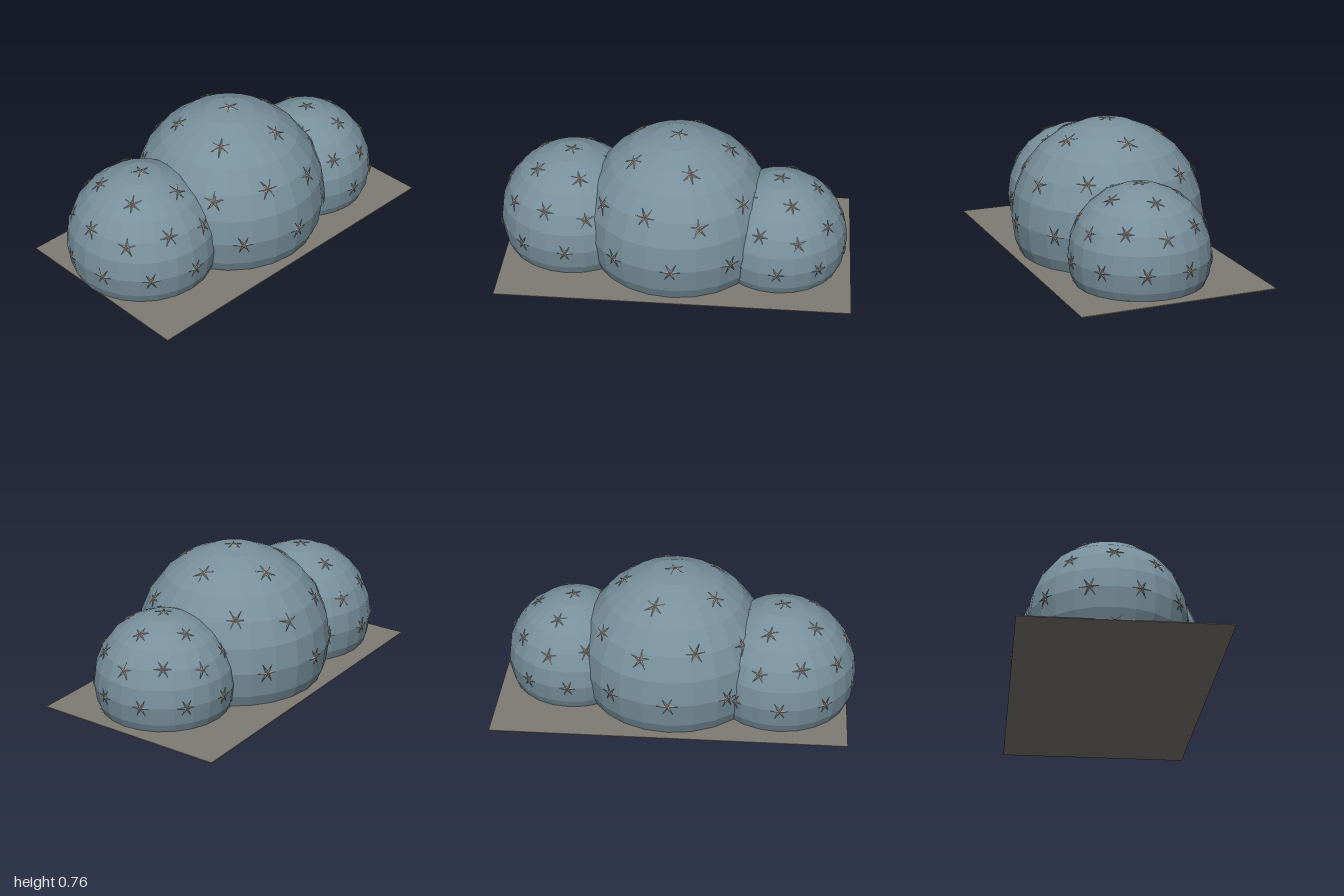
import * as THREE from 'three';

const shellBlue = new THREE.MeshStandardMaterial({ color: 0x78909c });
shellBlue.name = 'shellBlue';
const starGrey = new THREE.MeshStandardMaterial({ color: 0xa09a94, side: THREE.DoubleSide });
starGrey.name = 'starGrey';
const groundGrey = new THREE.MeshStandardMaterial({ color: 0x7f7c74 });
groundGrey.name = 'groundGrey';

// The 42 directions of a once-divided icosahedron standing on its point
function starDirections() {
  const dirs = [];
  const ring = Math.atan(2);
  const add = (polar, azimuth) => dirs.push(new THREE.Vector3(
    Math.sin(polar) * Math.cos(azimuth), Math.cos(polar), Math.sin(polar) * Math.sin(azimuth)));
  add(0, 0);
  add(Math.PI, 0);
  for (let i = 0; i < 5; i++) {
    add(ring, i * Math.PI * 0.4);
    add(Math.PI - ring, (i + 0.5) * Math.PI * 0.4);
  }
  for (let i = 0; i < 12; i++) {
    for (let j = i + 1; j < 12; j++) {
      if (dirs[i].dot(dirs[j]) > 0.4) dirs.push(dirs[i].clone().add(dirs[j]).normalize());
    }
  }
  return dirs;
}

// Faceted dome, cut flat at the ground
function domeGeometry(r, cy) {
  const at = (deg) => {
    const a = THREE.MathUtils.degToRad(deg);
    return new THREE.Vector2(r * Math.sin(a), cy + r * Math.cos(a));
  };
  const points = [];
  for (let deg = 0; deg <= 105; deg += 15) points.unshift(at(deg));
  points[points.length - 1].x = 0;
  const low = at(105), below = at(120);
  points.unshift(low.clone().lerp(below, low.y / (low.y - below.y)));
  const geo = new THREE.LatheGeometry(points, 24).toNonIndexed();
  geo.computeVertexNormals();
  return geo;
}

// Raised stars whose arms point at the neighbouring stars
function starsGeometry(r, cy, size) {
  const dirs = starDirections();
  const pos = [];
  for (const c of dirs) {
    if (cy + r * c.y < -0.05) continue;
    const u = new THREE.Vector3(1, 0, 0).cross(c);
    if (u.length() < 0.1) u.set(0, 0, 1).cross(c);
    u.normalize();
    const v = c.clone().cross(u);
    const angles = dirs.filter((d) => d !== c && d.dot(c) > 0.75)
      .map((d) => Math.atan2(d.dot(v), d.dot(u))).sort((a, b) => a - b);
    const point = (angle, reach, lift) => {
      const p = c.clone().multiplyScalar(r)
        .addScaledVector(u, reach * Math.cos(angle))
        .addScaledVector(v, reach * Math.sin(angle)).setLength(r + lift);
      return [p.x, Math.max(p.y + cy, 0.001), p.z];
    };
    const peak = point(0, 0, 0.009);
    angles.forEach((a, i) => {
      const next = i + 1 < angles.length ? angles[i + 1] : angles[0] + Math.PI * 2;
      const notch = point((a + next) / 2, size * 0.22, 0.002);
      pos.push(...peak, ...point(a, size, 0.002), ...notch);
      pos.push(...peak, ...notch, ...point(next, size, 0.002));
    });
  }
  const geo = new THREE.BufferGeometry();
  geo.setAttribute('position', new THREE.Float32BufferAttribute(pos, 3));
  geo.computeVertexNormals();
  return geo;
}

export function createModel() {
  const model = new THREE.Group();
  model.name = 'domeCluster';

  const addMesh = (parent, name, geo, material) => {
    const mesh = new THREE.Mesh(geo, material);
    mesh.name = name;
    parent.add(mesh);
    return mesh;
  };

  // Thin ground plate
  addMesh(model, 'groundPlate', new THREE.BoxGeometry(1.955, 0.005, 1.09), groundGrey)
    .position.set(0.0225, 0.0025, 0);

  // Three overlapping domes: name, x, z, radius, centre height, star size
  const domes = [
    ['middleDome', 0.02, 0, 0.538, 0.21, 0.06],
    ['rightDome', -0.58, -0.058, 0.418, 0.166, 0.054],
    ['leftDome', 0.59, 0.053, 0.382, 0.15, 0.05],
  ];
  for (const [name, x, z, r, cy, size] of domes) {
    const dome = new THREE.Group();
    dome.name = name;
    dome.position.set(x, 0, z);
    addMesh(dome, 'shell', domeGeometry(r, cy), shellBlue);
    addMesh(dome, 'stars', starsGeometry(r, cy, size), starGrey);
    model.add(dome);
  }
  return model;
}
